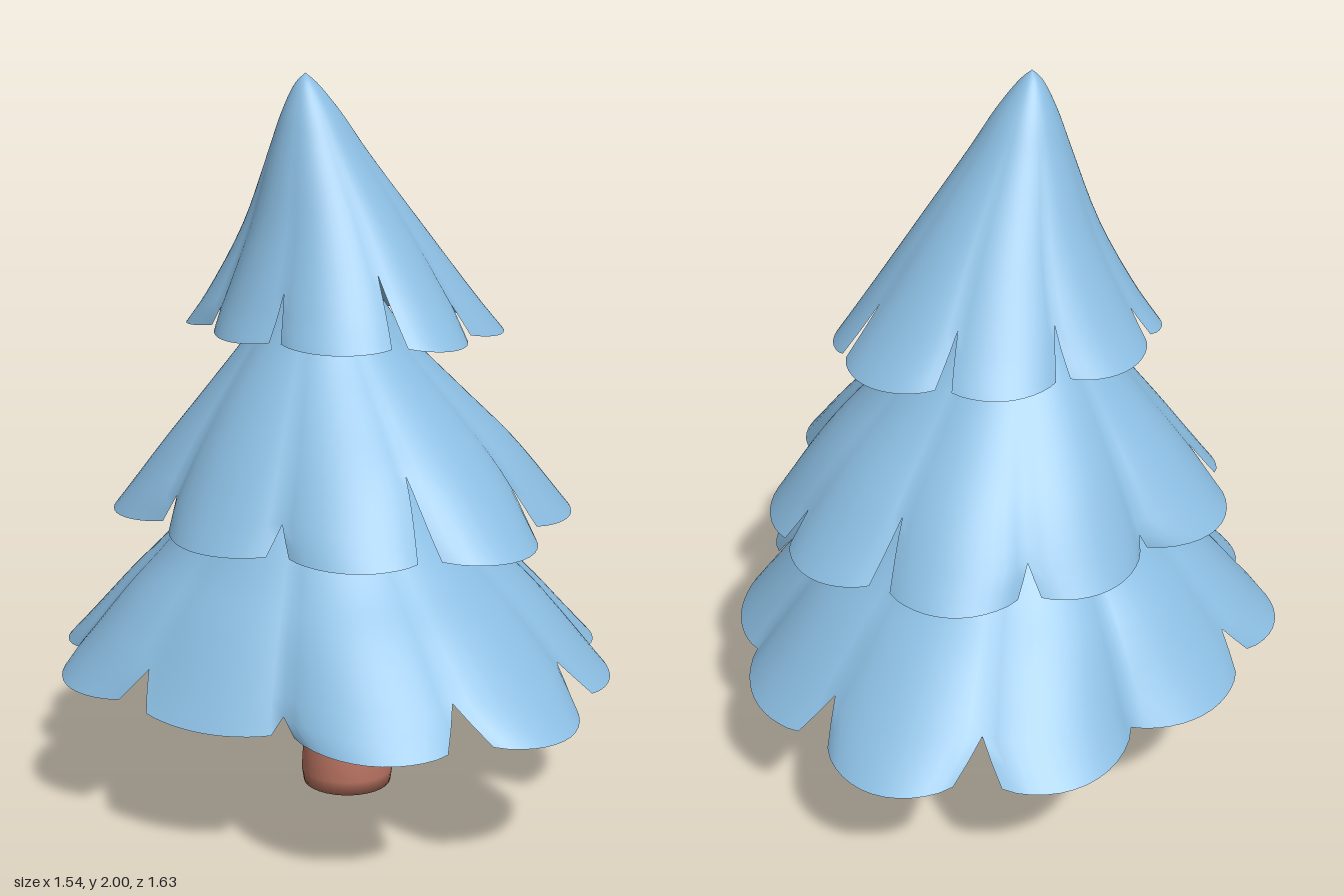
import * as THREE from 'three';
import { mergeVertices } from 'three/addons/utils/BufferGeometryUtils.js';

const ROWS = 24, COLS = 12;

// Open skirt of foliage, cut into lobes.
// profile: [radius, y, centre x] from the top down to the rim.
// lobes: [notch angle, notch half width, notch tip y, rim radius at notch, rim radius of the lobe after it]
function skirtGeometry(profile, lobes, tilt) {
  const curve = new THREE.CatmullRomCurve3(profile.map(p => new THREE.Vector3(...p)));
  const rows = [];
  for (let j = 0; j <= ROWS; j++) rows.push(curve.getPoint(j / ROWS));
  const top = rows[0].y, rim = rows[ROWS];
  const rad = Math.PI / 180;

  // how far a notch has opened at height y, in radians
  const opening = ([, half, tip], y) => {
    const tipRow = rows.findIndex(p => p.y <= tip);
    const tipY = rows[tipRow].y;
    return y < tipY ? half * rad * (tipY - y) / (tipY - rim.y) : 0;
  };

  const position = [], index = [];
  lobes.forEach((a, k) => {
    const last = k === lobes.length - 1;
    const b = last ? lobes[0] : lobes[k + 1];
    const endAngle = b[0] + (last ? 360 : 0);
    const start = position.length / 3;
    for (const p of rows) {
      const t = (top - p.y) / (top - rim.y);
      const a0 = a[0] * rad + opening(a, p.y);
      const a1 = endAngle * rad - opening(b, p.y);
      for (let i = 0; i <= COLS; i++) {
        const u = i / COLS, swell = Math.sin(Math.PI * u) ** 0.8;
        const angle = a0 + (a1 - a0) * u;
        const edge = a[3] + (b[3] - a[3]) * u;
        const rimRadius = edge + (a[4] - (a[3] + b[3]) / 2) * swell;
        const r = Math.max(0, p.x) * (1 + (rimRadius / rim.x - 1) * t ** 1.6);
        const x = p.z + r * Math.cos(angle);
        const y = p.y + t ** 4 * (0.012 * (1 - swell) - tilt * x);
        position.push(x, y, -p.z / 3 + r * Math.sin(angle));
      }
    }
    for (let j = 0; j < ROWS; j++) for (let i = 0; i < COLS; i++) {
      const q = start + j * (COLS + 1) + i, d = q + COLS + 1;
      index.push(q, q + 1, d, q + 1, d + 1, d);
    }
  });
  let g = new THREE.BufferGeometry();
  g.setAttribute('position', new THREE.Float32BufferAttribute(position, 3));
  g.setIndex(index);
  g = mergeVertices(g, 1e-4);
  g.computeVertexNormals();
  return g;
}

export function createModel() {
  const model = new THREE.Group();
  model.name = 'tree';
  const foliage = new THREE.MeshStandardMaterial({ color: 0x8abce0, side: THREE.DoubleSide });
  foliage.name = 'blue foliage';
  const bark = new THREE.MeshStandardMaterial({ color: 0xb87260 });
  bark.name = 'brown bark';

  // Trunk: flared foot, tapering up inside the foliage
  const trunkProfile = [[0, 0], [0.125, 0], [0.131, 0.04], [0.127, 0.11], [0.112, 0.19], [0.09, 0.27],
    [0.082, 0.31], [0.079, 0.4], [0.064, 0.8], [0.047, 1.25], [0.031, 1.6], [0, 1.8]];
  const trunk = new THREE.Mesh(
    new THREE.LatheGeometry(trunkProfile.map(p => new THREE.Vector2(...p)), 32), bark);
  trunk.name = 'trunk';
  trunk.position.x = 0.025;
  model.add(trunk);

  const tiers = {
    topFoliage: {
      tilt: 0.02,
      profile: [[0, 2, -0.09], [0.028, 1.975, -0.088], [0.078, 1.9, -0.075], [0.13, 1.8, -0.058],
        [0.24, 1.6, -0.02], [0.365, 1.4, 0], [0.425, 1.315, 0.005]],
      lobes: [[-99, 3, 1.45, 0.385, 0.43], [-55, 3, 1.46, 0.42, 0.475], [-10, 1.5, 1.46, 0.445, 0.44],
        [31, 3, 1.4, 0.375, 0.44], [74, 3, 1.53, 0.42, 0.44], [121, 2.5, 1.46, 0.38, 0.385],
        [172, 4, 1.38, 0.35, 0.43], [213, 3, 1.42, 0.41, 0.43]],
    },
    middleFoliage: {
      tilt: 0.012,
      profile: [[0.04, 1.55, -0.03], [0.12, 1.44, -0.03], [0.22, 1.3, -0.03], [0.35, 1.15, -0.015],
        [0.48, 1, 0], [0.62, 0.81, 0.005]],
      lobes: [[-82, 3, 0.93, 0.58, 0.65], [-44, 3, 0.98, 0.61, 0.67], [-12, 1.5, 0.93, 0.64, 0.64],
        [31, 3, 0.95, 0.57, 0.68], [74, 3, 1.01, 0.62, 0.64], [111, 3, 0.9, 0.57, 0.595],
        [158, 3, 0.9, 0.52, 0.62], [195.5, 3, 0.96, 0.61, 0.635], [238.5, 1.5, 0.86, 0.52, 0.595]],
    },
    bottomFoliage: {
      tilt: 0.015,
      profile: [[0.06, 1.14, -0.04], [0.19, 1, -0.04], [0.36, 0.83, -0.035], [0.47, 0.71, -0.025],
        [0.58, 0.6, -0.015], [0.77, 0.38, 0]],
      lobes: [[-106, 1, 0.41, 0.66, 0.805], [-70, 4.5, 0.5, 0.8, 0.865], [-34.5, 4, 0.5, 0.78, 0.79],
        [0, 1.5, 0.42, 0.72, 0.765], [35, 4.5, 0.49, 0.75, 0.845], [71, 4.5, 0.5, 0.8, 0.805],
        [107, 2.5, 0.44, 0.67, 0.7], [144, 5, 0.48, 0.71, 0.785], [182, 2.5, 0.43, 0.74, 0.8],
        [218, 4.5, 0.48, 0.73, 0.74]],
    },
  };
  for (const [name, { profile, lobes, tilt }] of Object.entries(tiers)) {
    const tier = new THREE.Mesh(skirtGeometry(profile, lobes, tilt), foliage);
    tier.name = name;
    model.add(tier);
  }
  return model;
}
